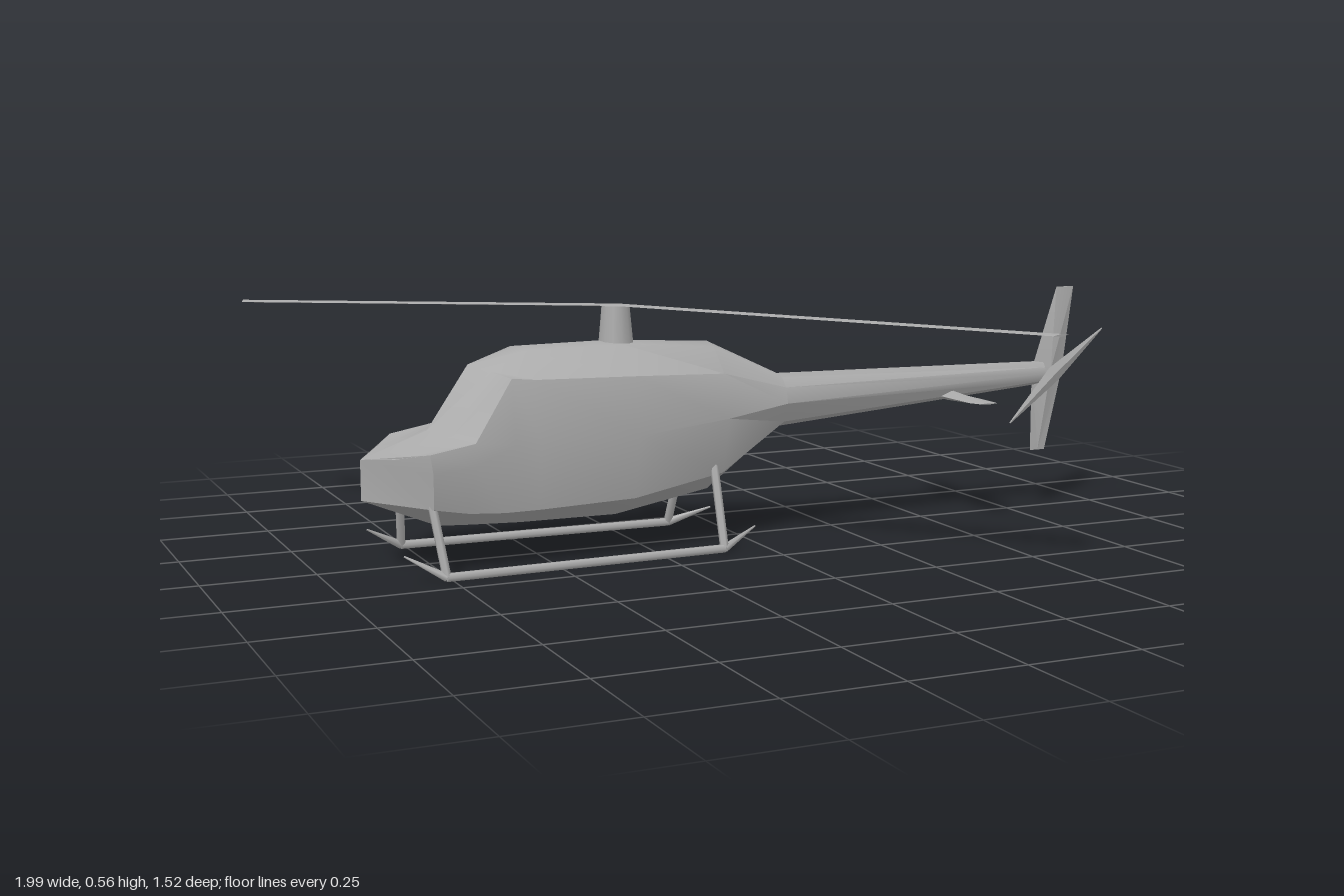
import * as THREE from 'three';
import { toCreasedNormals } from 'three/addons/utils/BufferGeometryUtils.js';

const grey = new THREE.MeshStandardMaterial({ color: 0xaaaaaa });
grey.name = 'plain grey';

// Closed skin through rings of [x, y, z] points, with both ends capped
function loft(name, rings, crease) {
  const n = rings[0].length, pos = [];
  const tri = (a, b, c) => pos.push(...a, ...b, ...c);
  for (let r = 0; r < rings.length - 1; r++) {
    const p = rings[r], q = rings[r + 1];
    for (let i = 0; i < n; i++) {
      const j = (i + 1) % n;
      // mirror the diagonal on the second half so the two sides match
      if (i < n / 2) { tri(p[i], p[j], q[j]); tri(p[i], q[j], q[i]); }
      else { tri(p[i], p[j], q[i]); tri(p[j], q[j], q[i]); }
    }
  }
  const first = rings[0], last = rings[rings.length - 1];
  for (let i = 1; i < n - 1; i++) {
    tri(first[0], first[i + 1], first[i]);
    tri(last[0], last[i], last[i + 1]);
  }
  const geo = new THREE.BufferGeometry();
  geo.setAttribute('position', new THREE.Float32BufferAttribute(pos, 3));
  const mesh = new THREE.Mesh(toCreasedNormals(geo, crease), grey);
  mesh.name = name;
  return mesh;
}

// Four-point section around c; u x v points along the loft
const diamond = (c, u, v) => [[u, 1], [v, 1], [u, -1], [v, -1]]
  .map(([d, s]) => c.map((k, i) => k + s * d[i]));

// Round bar between two points, optionally tapered
function bar(name, a, b, ra, rb = ra, sides = 6) {
  const A = new THREE.Vector3(...a), B = new THREE.Vector3(...b);
  const mesh = new THREE.Mesh(new THREE.CylinderGeometry(rb, ra, A.distanceTo(B), sides), grey);
  mesh.position.copy(A).add(B).multiplyScalar(0.5);
  mesh.quaternion.setFromUnitVectors(new THREE.Vector3(0, 1, 0), B.sub(A).normalize());
  mesh.name = name;
  return mesh;
}

// Half section from roof line to keel, mirrored into a full ring
const mirror = half => [...half, ...half.slice(1, -1).reverse().map(([x, y, z]) => [x, y, -z])];
// Upright section at x: roof, four [y, z] side points, keel
const upright = (x, top, sides, keel) => mirror([[x, top, 0], ...sides.map(([y, z]) => [x, y, z]), [x, keel, 0]]);

export function createModel() {
  const group = new THREE.Group();
  group.name = 'helicopter';

  // Cabin with swept nose and V windscreen, running into the tail boom
  group.add(loft('fuselage', [
    mirror([[-0.9, 0.245, 0], [-0.845, 0.255, 0.085], [-0.79, 0.272, 0.16],
      [-0.785, 0.23, 0.165], [-0.78, 0.15, 0.145], [-0.9, 0.155, 0]]),
    mirror([[-0.75, 0.3, 0], [-0.72, 0.295, 0.083], [-0.69, 0.29, 0.162],
      [-0.69, 0.24, 0.164], [-0.7, 0.135, 0.14], [-0.73, 0.085, 0]]),
    mirror([[-0.655, 0.44, 0], [-0.625, 0.43, 0.064], [-0.595, 0.42, 0.125],
      [-0.6, 0.28, 0.161], [-0.62, 0.13, 0.14], [-0.65, 0.081, 0]]),
    upright(-0.54, 0.476, [[0.47, 0.048], [0.415, 0.13], [0.28, 0.16], [0.13, 0.137]], 0.077),
    upright(-0.31, 0.478, [[0.473, 0.048], [0.41, 0.128], [0.28, 0.156], [0.135, 0.125]], 0.076),
    upright(-0.08, 0.465, [[0.455, 0.042], [0.4, 0.1], [0.3, 0.128], [0.17, 0.09]], 0.118),
    upright(0.1, 0.38, [[0.374, 0.03], [0.352, 0.054], [0.315, 0.063], [0.27, 0.043]], 0.253),
    upright(0.84, 0.37, [[0.367, 0.01], [0.356, 0.018], [0.34, 0.021], [0.321, 0.014]], 0.313),
  ], 0.6));

  // Tail fin
  const fin = (x, y, hx, hz) => diamond([x, y, 0], [0, 0, hz], [hx, 0, 0]);
  group.add(loft('tailFin', [
    fin(0.833, 0.145, 0.021, 0.002), fin(0.857, 0.35, 0.045, 0.018), fin(0.905, 0.555, 0.025, 0.002),
  ], 0.3));

  // Horizontal stabiliser
  const stab = (z, x, hx, hy) => diamond([x, 0.302, z], [hx, 0, 0], [0, hy, 0]);
  group.add(loft('stabilizer', [
    stab(-0.185, 0.572, 0.024, 0.002), stab(-0.16, 0.567, 0.031, 0.004), stab(0, 0.566, 0.032, 0.014),
    stab(0.16, 0.567, 0.031, 0.004), stab(0.185, 0.572, 0.024, 0.002),
  ], 0.3));

  // Tail rotor and its short hub
  const tail = (x, y, z, w, t) => diamond([x, y, z], [-0.64 * w, 0.77 * w, 0], [0, 0, t]);
  group.add(loft('tailRotor', [
    tail(0.722, 0.226, 0.045, 0.002, 0.001), tail(0.857, 0.34, 0.032, 0.021, 0.006),
    tail(0.988, 0.45, 0.045, 0.002, 0.001),
  ], 0.3));
  group.add(bar('tailRotorHub', [0.857, 0.34, 0], [0.857, 0.34, 0.035], 0.01));

  // Mast and drooping two-blade main rotor
  group.add(bar('mast', [-0.305, 0.46, 0], [-0.305, 0.556, 0], 0.041, 0.032, 12));
  const blade = (x, y, z, ux, uz) => diamond([x, y, z], [ux, 0, uz], [0, 0.003, 0]);
  group.add(loft('mainRotor', [
    blade(-0.993, 0.53, -0.74, 0.008, -0.028),
    blade(-0.3, 0.557, 0, 0.019, -0.019),
    blade(0.395, 0.53, 0.742, 0.025, -0.008),
  ], 0.3));

  // Landing skids with upturned pointed ends
  for (const s of [1, -1]) {
    const side = new THREE.Group();
    side.name = s > 0 ? 'leftSkid' : 'rightSkid';
    const front = [-0.765, 0.01, 0.18 * s], rear = [-0.11, 0.01, 0.165 * s];
    side.add(
      bar('skidTube', front, rear, 0.01),
      bar('skidFrontTip', front, [-0.85, 0.058, 0.152 * s], 0.01, 0.002),
      bar('skidRearTip', rear, [-0.015, 0.046, 0.125 * s], 0.01, 0.002),
      bar('frontStrut', front, [-0.78, 0.16, 0.13 * s], 0.01),
      bar('rearStrut', rear, [-0.102, 0.19, 0.09 * s], 0.01),
    );
    group.add(side);
  }

  group.position.z = 0.005;
  return group;
}
